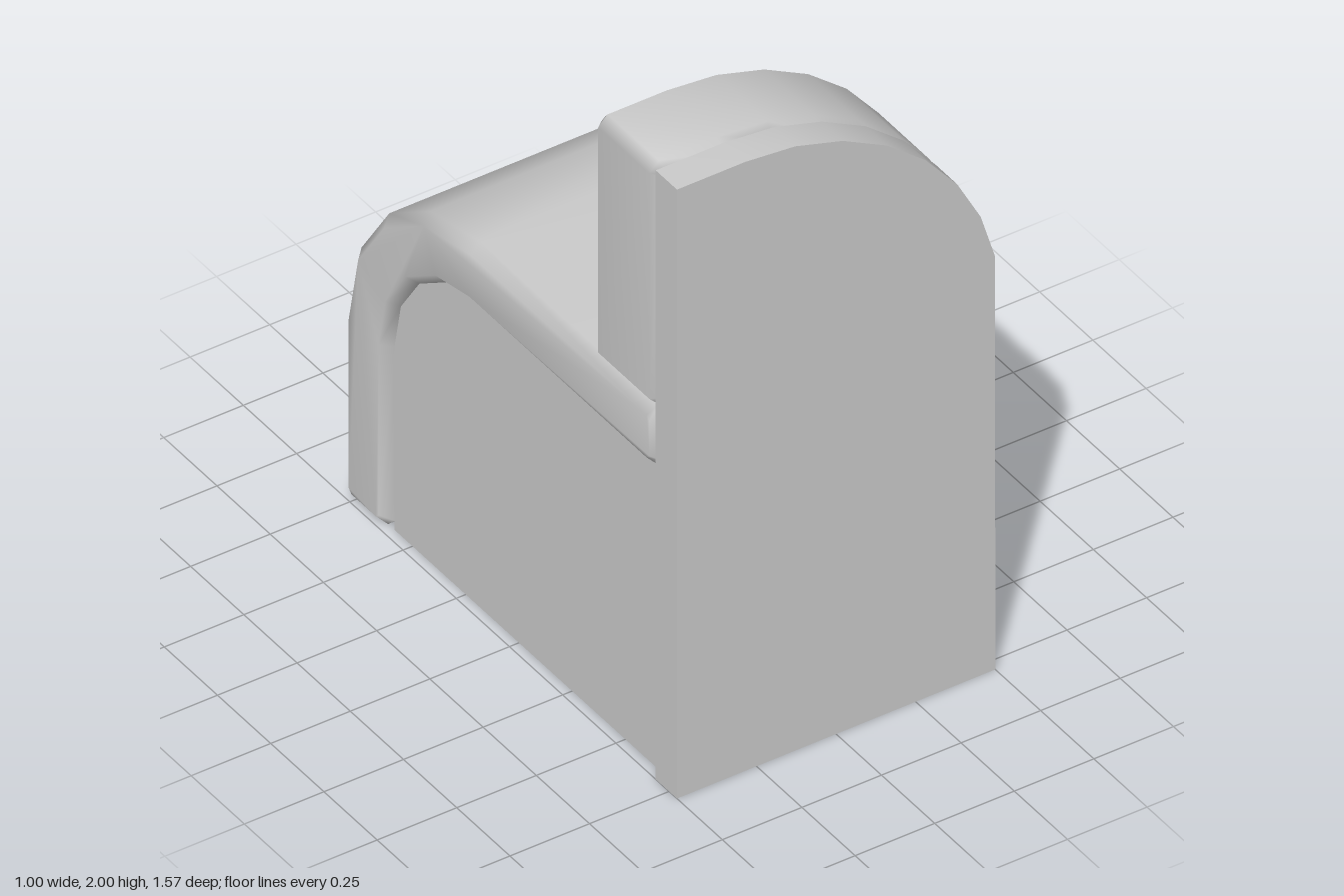
import * as THREE from 'three';
import { mergeVertices, toCreasedNormals } from 'three/addons/utils/BufferGeometryUtils.js';

const BEVEL = 0.03;
const material = new THREE.MeshStandardMaterial({ color: 0xcccccc });
const thinMaterial = new THREE.MeshStandardMaterial({ color: 0xcccccc, side: THREE.DoubleSide });

const toShape = (points) => new THREE.Shape(points.map(([x, y]) => new THREE.Vector2(x, y)));

// Points on an arc; angles in degrees from the horizontal axis
function arc(cx, cy, r, from, to, steps) {
  return Array.from({ length: steps + 1 }, (_, i) => {
    const a = THREE.MathUtils.degToRad(from + ((to - from) * i) / steps);
    return [cx + r * Math.cos(a), cy + r * Math.sin(a)];
  });
}

// Upholstered block: chamfered on both ends, softly shaded, centred on its depth
function cushion(points, depth) {
  let geometry = new THREE.ExtrudeGeometry(toShape(points), {
    depth: depth - 2 * BEVEL,
    bevelEnabled: true,
    bevelSegments: 1,
    bevelSize: BEVEL,
    bevelThickness: BEVEL,
    bevelOffset: -BEVEL,
  });
  geometry.translate(0, 0, BEVEL - depth / 2);
  geometry.deleteAttribute('uv');
  geometry.deleteAttribute('normal');
  geometry = mergeVertices(geometry, 1e-4);
  geometry.computeVertexNormals();
  return geometry;
}

export function createModel() {
  const group = new THREE.Group();
  const add = (name, geometry, mat = material) => {
    const mesh = new THREE.Mesh(geometry, mat);
    mesh.name = name;
    group.add(mesh);
    return mesh;
  };

  // Tall end panel, rounded on one upper corner
  const crown = arc(-0.285, 1.2, 0.8, 11.25, 90, 7);
  const panel = new THREE.ExtrudeGeometry(
    toShape([[-0.5, 0], [0.5, 0], ...crown, [-0.5, 2]]),
    { depth: 0.1, bevelEnabled: false },
  );
  add('endPanel', toCreasedNormals(panel, 0.4)).position.z = 0.687;

  // Backrest cushion following the panel's crown
  const backrest = [
    [-0.5, 1.2 + BEVEL], [-0.5 + BEVEL, 1.2], [0.5 - BEVEL, 1.2], [0.5, 1.2 + BEVEL],
    ...crown, [-0.5 + BEVEL, 2], [-0.5, 2 - BEVEL],
  ];
  add('backrest', cushion(backrest, 0.3)).position.z = 0.537;

  // Waterfall seat: profile in (z, y), swept across the width
  const seat = [
    [0.687, 1 + BEVEL], [0.687, 1.2 - BEVEL], [0.687 - BEVEL, 1.2],
    ...arc(-0.185, 0.6, 0.6, 90, 180, 4),
    [-0.785, BEVEL], [-0.785 + BEVEL, 0], [-0.585 - BEVEL, 0], [-0.585, BEVEL],
    ...arc(-0.185, 0.6, 0.4, 180, 90, 4),
    [0.687 - BEVEL, 1],
  ];
  add('seat', cushion(seat, 1).rotateY(-Math.PI / 2));

  // Thin side walls under the seat, open below
  const wall = [[0.687, 0], [0.687, 1], ...arc(-0.185, 0.6, 0.4, 90, 180, 4), [-0.585, 0]];
  for (const side of [-1, 1]) {
    const geometry = new THREE.ShapeGeometry(toShape(wall)).rotateY(-Math.PI / 2);
    add(side > 0 ? 'leftSideWall' : 'rightSideWall', geometry, thinMaterial).position.x = side * 0.47;
  }

  return group;
}
